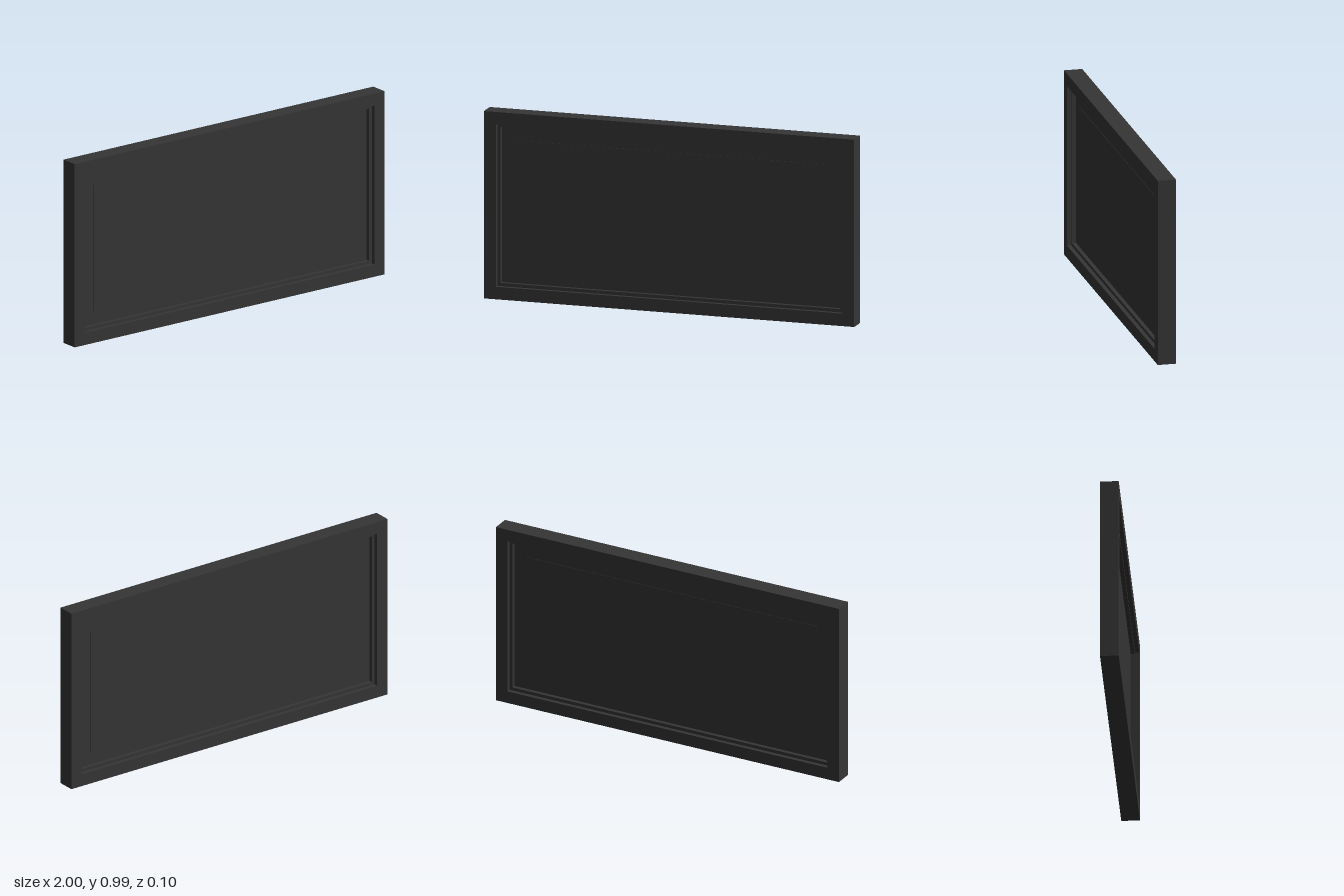
import * as THREE from 'three';

const W = 2, H = 0.985, D = 0.096;

// Rectangular ring centred on the panel, extruded symmetrically along z
function ring(outerInset, innerInset, depth) {
  const rect = (Type, inset) => {
    const x = W / 2 - inset, y = H / 2 - inset;
    return new Type([
      new THREE.Vector2(-x, -y), new THREE.Vector2(x, -y),
      new THREE.Vector2(x, y), new THREE.Vector2(-x, y),
    ]);
  };
  const shape = rect(THREE.Shape, outerInset);
  shape.holes.push(rect(THREE.Path, innerInset));
  const geometry = new THREE.ExtrudeGeometry(shape, { depth, bevelEnabled: false });
  return geometry.translate(0, 0, -depth / 2);
}

// Rectangular slab inset from the outer edge
function slab(inset, depth) {
  return new THREE.BoxGeometry(W - 2 * inset, H - 2 * inset, depth);
}

export function createModel() {
  const group = new THREE.Group();
  group.name = 'framedPanel';
  const material = new THREE.MeshStandardMaterial({ color: 0x353535 });

  const add = (name, geometry) => {
    const mesh = new THREE.Mesh(geometry, material);
    mesh.name = name;
    mesh.position.y = H / 2;
    group.add(mesh);
  };

  // Outer frame, with a stepped bead around the opening on both faces
  add('frame', ring(0, 0.066, D));
  add('bead', ring(0.066, 0.083, 0.052));

  // Thin middle panel with a very slightly raised field
  add('panel', slab(0.083, 0.01));
  add('raisedField', slab(0.152, 0.014));

  return group;
}
